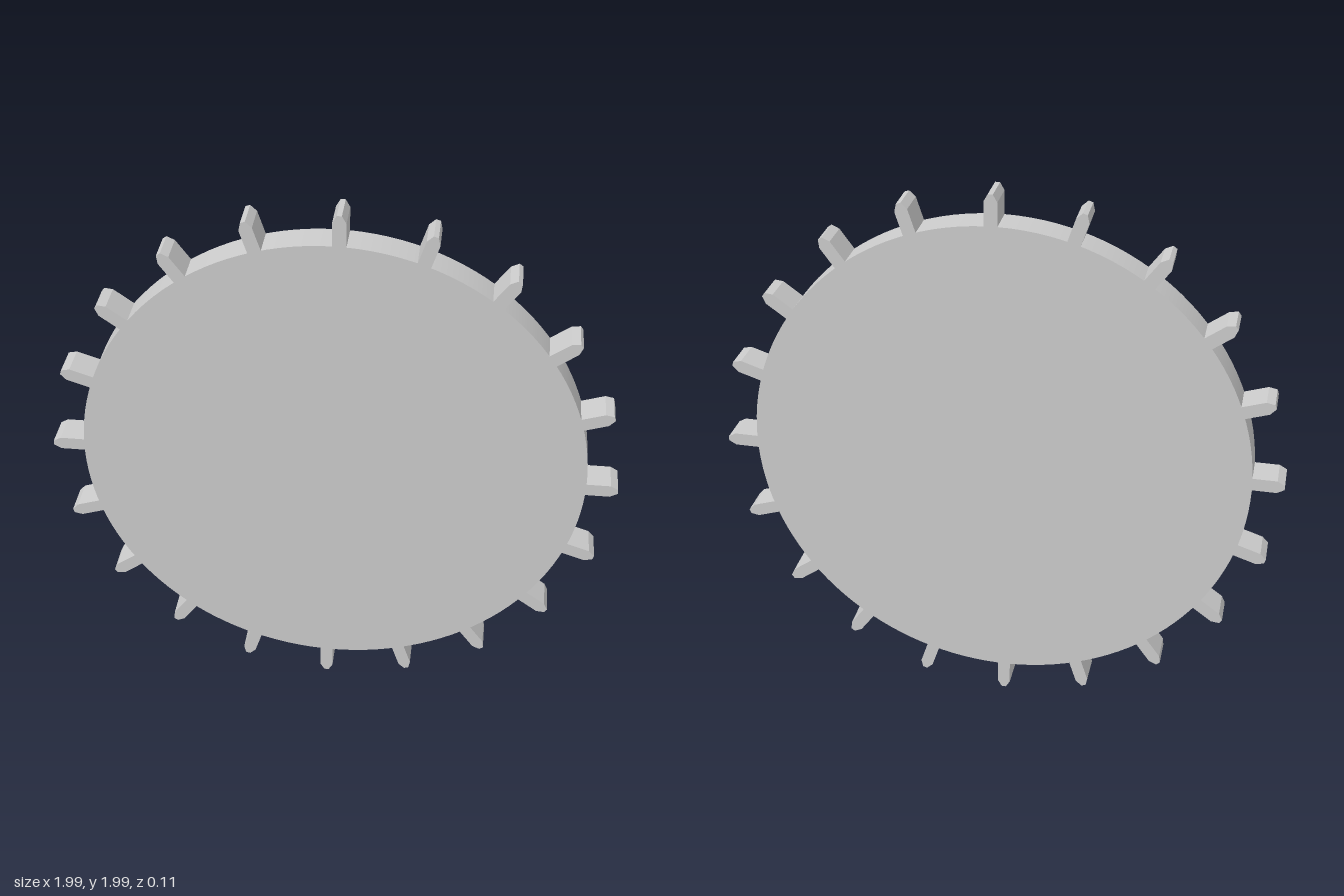
import * as THREE from 'three';

const TEETH = 20;
const DISC_RADIUS = 0.886;
const TIP_RADIUS = 0.996;
const DEPTH = 0.112;
const TOOTH_WIDTH = 0.046;

export function createModel() {
  const model = new THREE.Group();
  model.name = 'toothedWheel';
  const material = new THREE.MeshStandardMaterial({ color: 0xcccccc });

  // Solid disc, axis along z
  const discGeometry = new THREE.CylinderGeometry(DISC_RADIUS, DISC_RADIUS, DEPTH, 128);
  discGeometry.rotateX(Math.PI / 2);
  const disc = new THREE.Mesh(discGeometry, material);
  disc.name = 'disc';
  model.add(disc);

  // Tooth outline: one flank lies on the radius line, the tip is chamfered
  const root = DISC_RADIUS - 0.004;
  const shoulder = TIP_RADIUS - 0.026;
  const outline = new THREE.Shape([
    [0, root], [TOOTH_WIDTH, root], [TOOTH_WIDTH, shoulder],
    [TOOTH_WIDTH * 0.68, TIP_RADIUS], [TOOTH_WIDTH * 0.32, TIP_RADIUS], [0, shoulder],
  ].map(([x, y]) => new THREE.Vector2(x, y)));
  const toothGeometry = new THREE.ExtrudeGeometry(outline, { depth: DEPTH, bevelEnabled: false });
  toothGeometry.translate(0, 0, -DEPTH / 2);

  // Ring of teeth
  const teeth = new THREE.Group();
  teeth.name = 'teeth';
  for (let i = 0; i < TEETH; i++) {
    const tooth = new THREE.Mesh(toothGeometry, material);
    tooth.name = `tooth${i + 1}`;
    tooth.rotation.z = -(i / TEETH) * Math.PI * 2;
    teeth.add(tooth);
  }
  model.add(teeth);

  // Stand the wheel on the ground
  model.position.set(0, 1.003, 0);
  const group = new THREE.Group();
  group.name = 'wheel';
  group.add(model);
  return group;
}
